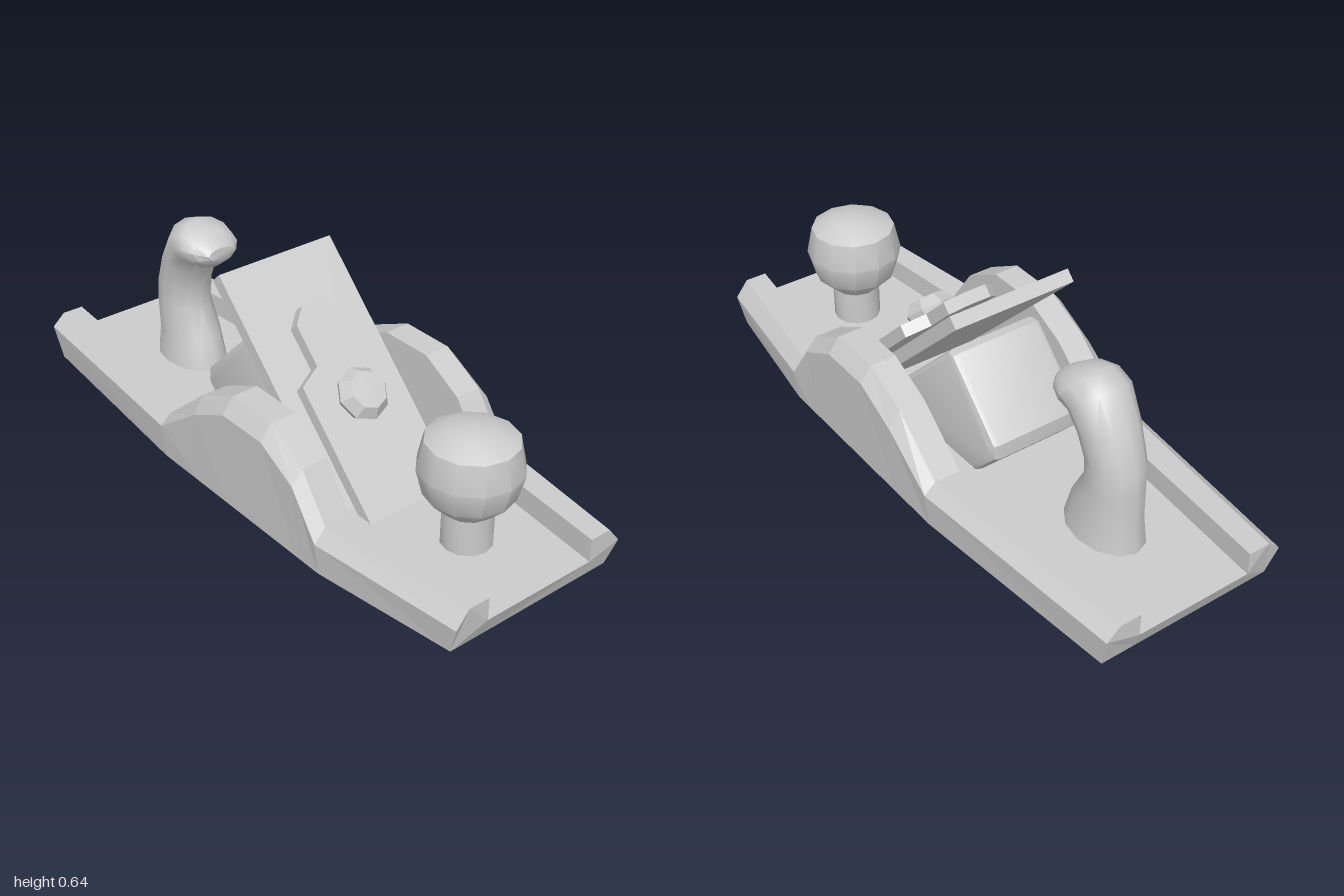
import * as THREE from 'three';
import { toCreasedNormals } from 'three/addons/utils/BufferGeometryUtils.js';

const flat = new THREE.MeshStandardMaterial({ color: 0xcccccc, flatShading: true });
const smooth = new THREE.MeshStandardMaterial({ color: 0xcccccc });
const lerp = THREE.MathUtils.lerp;
const V = (x, y, z) => new THREE.Vector3(x, y, z);

// triangle soup from quads and triangles
class Soup {
  constructor() { this.p = []; }
  tri(...v) { v.forEach(a => this.p.push(a.x, a.y, a.z)); }
  quad(a, b, c, d) { this.tri(a, b, c); this.tri(a, c, d); }
  geometry() {
    const g = new THREE.BufferGeometry();
    g.setAttribute('position', new THREE.Float32BufferAttribute(this.p, 3));
    g.computeVertexNormals();
    return g;
  }
}

function polygon(points) {
  return new THREE.Shape(points.map(p => new THREE.Vector2(...p)));
}

// side profile given as (z, y), extruded across x
function sideExtrude(points, width, bevel = 0) {
  const depth = width - 2 * bevel;
  const g = new THREE.ExtrudeGeometry(polygon(points), {
    depth, bevelEnabled: bevel > 0, bevelSize: bevel, bevelThickness: bevel,
    bevelOffset: -bevel, bevelSegments: 2,
  });
  return g.rotateY(-Math.PI / 2).translate(depth / 2, 0, 0);
}

// body: U-shaped cross-sections along z, with a mouth pocket in the sole
function bodyGeometry() {
  const sole = 0.02, floor = 0.093, mouth = 0.235, roof = 0.085;
  const mouthBack = 0.42, mouthFront = 0.53;
  // z, rail top height, side crease height
  const stations = [
    [-1, 0.168, 0.13], [-0.25, 0.168, 0.135], [-0.07, 0.32, 0.265], [0.08, 0.39, 0.34],
    [0.26, 0.39, 0.34], [0.4, 0.31, 0.265], [mouthBack, 0.282, 0.237], [0.5, 0.168, 0.125],
    [mouthFront, 0.168, 0.125], [1, 0.168, 0.115],
  ];
  const rings = stations.map(([z, top, side]) => {
    const t = Math.max(0, (z - 0.5) / 0.5, (-0.25 - z) / 0.75);
    const zb = Math.abs(z) === 1 ? z * 0.97 : z;
    const inner = lerp(0.25, 0.195, t);
    const m = Math.min(mouth, inner - 0.01);
    const half = [
      V(m, sole, zb), V(lerp(0.363, 0.297, t), sole, zb), V(lerp(0.375, 0.31, t), side, z),
      V(lerp(0.337, 0.267, t), top, z), V(inner, top, z), V(inner, floor, z),
    ];
    return [...half, ...half.map(v => V(-v.x, v.y, v.z)).reverse()];
  });
  const s = new Soup(), n = rings[0].length;
  for (let i = 0; i < rings.length - 1; i++) {
    const a = rings[i], b = rings[i + 1];
    const open = stations[i][0] >= mouthBack && stations[i + 1][0] <= mouthFront;
    for (let j = 0; j < n; j++) {
      const k = (j + 1) % n;
      if (!(open && j === n - 1)) s.quad(a[j], a[k], b[k], b[j]);
    }
  }
  // pocket walls and roof
  const low = [[-1, mouthBack], [1, mouthBack], [1, mouthFront], [-1, mouthFront]]
    .map(([sx, z]) => V(sx * mouth, sole, z));
  const high = low.map(v => V(v.x, roof, v.z));
  for (let j = 0; j < 4; j++) {
    const k = (j + 1) % 4;
    s.quad(low[j], low[k], high[k], high[j]);
  }
  s.quad(...high);
  // end faces
  [[rings[0], true], [rings[rings.length - 1], false]].forEach(([r, back]) => {
    const outline = r.map(v => new THREE.Vector2(v.x, v.y));
    THREE.ShapeUtils.triangulateShape(outline, []).forEach(([a, b, c]) => {
      if (back) s.tri(r[a], r[c], r[b]); else s.tri(r[a], r[b], r[c]);
    });
  });
  return s.geometry();
}

// rear handle: elliptical loops between front and back points of its side outline
function handleGeometry() {
  // front z, front y, back z, back y, half width
  const rows = [
    [-0.47, 0.09, -0.76, 0.09, 0.1], [-0.5, 0.19, -0.745, 0.19, 0.09],
    [-0.555, 0.29, -0.742, 0.29, 0.085], [-0.55, 0.37, -0.735, 0.37, 0.085],
    [-0.53, 0.43, -0.69, 0.48, 0.092], [-0.5, 0.475, -0.625, 0.59, 0.1],
    [-0.465, 0.477, -0.56, 0.615, 0.1], [-0.44, 0.497, -0.485, 0.597, 0.085],
    [-0.428, 0.517, -0.43, 0.558, 0.05],
  ];
  const n = 12, s = new Soup();
  const centre = ([fz, fy, bz, by]) => V(0, (fy + by) / 2, (fz + bz) / 2);
  const loops = rows.map(r => Array.from({ length: n }, (_, j) => {
    const a = j / n * Math.PI * 2, c = Math.cos(a) / 2;
    return centre(r).add(V(Math.sin(a) * r[4], c * (r[1] - r[3]), c * (r[0] - r[2])));
  }));
  const last = loops.length - 1;
  for (let j = 0; j < n; j++) {
    const k = (j + 1) % n;
    for (let i = 0; i < last; i++) s.quad(loops[i][j], loops[i][k], loops[i + 1][k], loops[i + 1][j]);
    s.tri(loops[0][k], loops[0][j], centre(rows[0]));
    s.tri(loops[last][j], loops[last][k], centre(rows[last]));
  }
  return toCreasedNormals(s.geometry(), 0.8);
}

function lathe(points, sides) {
  return new THREE.LatheGeometry(points.map(p => new THREE.Vector2(...p)), sides);
}

export function createModel() {
  const group = new THREE.Group();
  const add = (name, geometry, material = flat) => {
    const mesh = new THREE.Mesh(geometry, material);
    mesh.name = name;
    group.add(mesh);
    return mesh;
  };

  add('body', bodyGeometry());

  // cutting blade leaning back at 45 degrees, ground flat at the tip
  add('blade', sideExtrude([[0.492, 0.003], [-0.15, 0.645], [-0.18, 0.615], [0.432, 0.003]], 0.42));

  // bed block behind the blade
  const bed = sideExtrude([[0.3, 0.085], [-0.06, 0.45], [-0.09, 0.45], [-0.297, 0.242],
    [-0.297, 0.19], [-0.2, 0.085]], 0.325, 0.022);
  add('bladeBed', toCreasedNormals(bed, 0.6), smooth);

  // keyhole-shaped clamp plate above the blade
  const right = [[0.163, -0.03], [0.163, 0.43], [0.087, 0.47], [0.087, 0.604], [0.04, 0.653]];
  const plate = polygon([...right, ...right.map(([x, y]) => [-x, y]).reverse()]);
  const clamp = add('clampPlate', new THREE.ExtrudeGeometry(plate, { depth: 0.04, bevelEnabled: false }));
  clamp.rotation.x = -Math.PI / 4;
  clamp.position.set(0, 0.07, 0.46);

  // clamp screw
  const screw = add('clampScrew', lathe([[0.07, -0.01], [0.085, 0.025], [0.06, 0.06], [0, 0.062]], 8));
  screw.rotation.x = Math.PI / 4;
  screw.position.set(0, 0.34, 0.245);

  // front knob
  const knob = lathe([[0.077, 0.09], [0.077, 0.208], [0.134, 0.265], [0.155, 0.345],
    [0.136, 0.435], [0.077, 0.468], [0, 0.48]], 12);
  add('frontKnob', toCreasedNormals(knob, 0.65), smooth).position.z = 0.715;

  add('rearHandle', handleGeometry(), smooth);
  return group;
}
